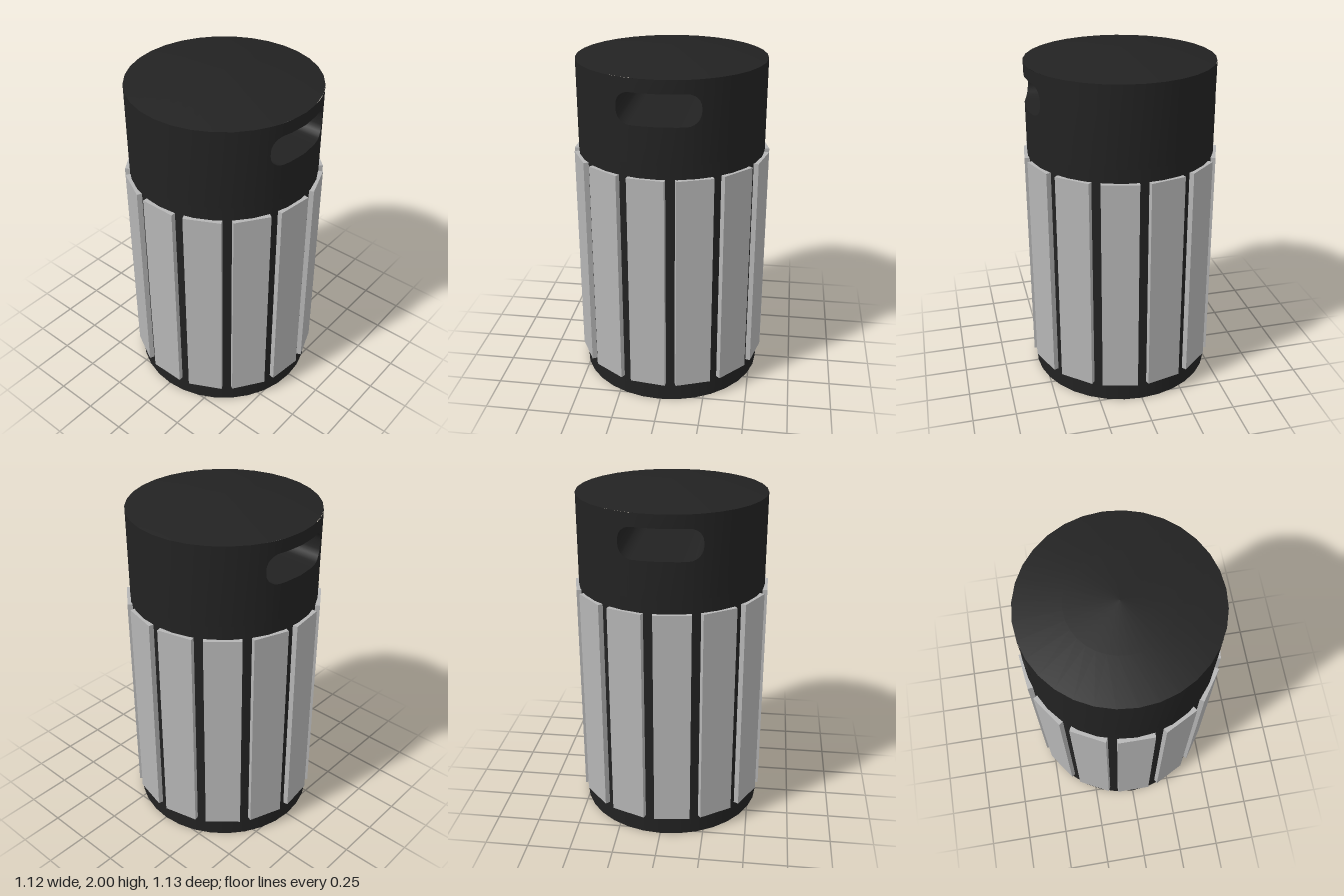
import * as THREE from 'three';
import { toCreasedNormals } from 'three/addons/utils/BufferGeometryUtils.js';

const R = 0.54, SIDES = 32;
const LID_BASE = 1.48, LID_RIM = 1.938;
const SLOT = { y: 1.777, halfW: 0.225, halfH: 0.087, r: 0.075 };

// half height of the rounded slot at a given x
function slotHalf(x) {
  const d = Math.abs(x) - (SLOT.halfW - SLOT.r);
  if (d <= 0) return SLOT.halfH;
  return SLOT.halfH - SLOT.r + Math.sqrt(Math.max(0, SLOT.r ** 2 - d * d));
}

// lid wall with a handle slot running straight through from front to back
function lidWallGeometry() {
  const pos = [];
  const quad = (a, b, c, d) => pos.push(...a, ...b, ...c, ...a, ...c, ...d);
  const at = (t, y) => [R * Math.sin(t), y, R * Math.cos(t)];
  const limit = Math.asin(SLOT.halfW / R);

  // columns: the regular sides plus extra ones along the rounded slot ends
  const angles = [];
  for (let i = 0; i <= SIDES; i++) angles.push(-Math.PI / 2 + (i / SIDES) * Math.PI * 2);
  for (let i = 0; i <= 6; i++) {
    const x = SLOT.halfW - SLOT.r + SLOT.r * Math.sin((i / 6) * Math.PI / 2);
    const t = Math.asin(x / R);
    angles.push(t, -t, Math.PI + t, Math.PI - t);
  }
  angles.sort((a, b) => a - b);

  for (let i = 0; i < angles.length - 1; i++) {
    const t0 = angles[i], t1 = angles[i + 1];
    if (t1 - t0 < 1e-6) continue;
    const mid = (t0 + t1) / 2;
    const front = Math.abs(mid) < limit;
    const back = Math.abs(mid - Math.PI) < limit;
    if (!front && !back) {
      quad(at(t0, LID_BASE), at(t1, LID_BASE), at(t1, LID_RIM), at(t0, LID_RIM));
      continue;
    }
    const h0 = slotHalf(R * Math.sin(t0)), h1 = slotHalf(R * Math.sin(t1));
    quad(at(t0, LID_BASE), at(t1, LID_BASE), at(t1, SLOT.y - h1), at(t0, SLOT.y - h0));
    quad(at(t0, SLOT.y + h0), at(t1, SLOT.y + h1), at(t1, LID_RIM), at(t0, LID_RIM));
    // floor and ceiling of the slot
    if (front) {
      const b0 = Math.PI - t0, b1 = Math.PI - t1;
      quad(at(t0, SLOT.y - h0), at(t1, SLOT.y - h1), at(b1, SLOT.y - h1), at(b0, SLOT.y - h0));
      quad(at(b0, SLOT.y + h0), at(b1, SLOT.y + h1), at(t1, SLOT.y + h1), at(t0, SLOT.y + h0));
    }
  }

  // short upright ends of the slot
  const e = SLOT.halfH - SLOT.r, lo = SLOT.y - e, hi = SLOT.y + e;
  quad(at(-limit, lo), at(Math.PI + limit, lo), at(Math.PI + limit, hi), at(-limit, hi));
  quad(at(Math.PI - limit, lo), at(limit, lo), at(limit, hi), at(Math.PI - limit, hi));

  const geo = new THREE.BufferGeometry();
  geo.setAttribute('position', new THREE.Float32BufferAttribute(pos, 3));
  return toCreasedNormals(geo, 0.6);
}

export function createModel() {
  const black = new THREE.MeshStandardMaterial({ name: 'black', color: 0x222222 });
  const grey = new THREE.MeshStandardMaterial({ name: 'slat grey', color: 0xb5b5b5 });

  const model = new THREE.Group();
  model.name = 'litterBin';
  const bin = new THREE.Group();
  bin.name = 'bin';
  bin.position.x = -0.005;
  model.add(bin);

  const add = (parent, name, geometry, material) => {
    const mesh = new THREE.Mesh(geometry, material);
    mesh.name = name;
    parent.add(mesh);
    return mesh;
  };

  // drum
  add(bin, 'body', new THREE.CylinderGeometry(R, R, LID_BASE, SIDES), black).position.y = LID_BASE / 2;

  // lid: slotted wall and shallow domed top
  const lid = new THREE.Group();
  lid.name = 'lid';
  bin.add(lid);
  add(lid, 'lidWall', lidWallGeometry(), black);
  const dome = [[R, LID_RIM], [0.285, 1.98], [0, 2]].map(([x, y]) => new THREE.Vector2(x, y));
  add(lid, 'lidTop', new THREE.LatheGeometry(dome, SIDES), black);

  // ring of flat slats
  const slats = new THREE.Group();
  slats.name = 'slats';
  bin.add(slats);
  const COUNT = 13, bottom = 0.115, top = 1.402, thick = 0.03, outer = 0.557;
  const slatGeo = new THREE.BoxGeometry(thick, top - bottom, 0.208);
  for (let i = 0; i < COUNT; i++) {
    const a = Math.PI + (i / COUNT) * Math.PI * 2;
    const slat = add(slats, 'slat', slatGeo, grey);
    const r = outer - thick / 2;
    slat.position.set(r * Math.cos(a), (top + bottom) / 2, -r * Math.sin(a));
    slat.rotation.y = a;
  }
  return model;
}
